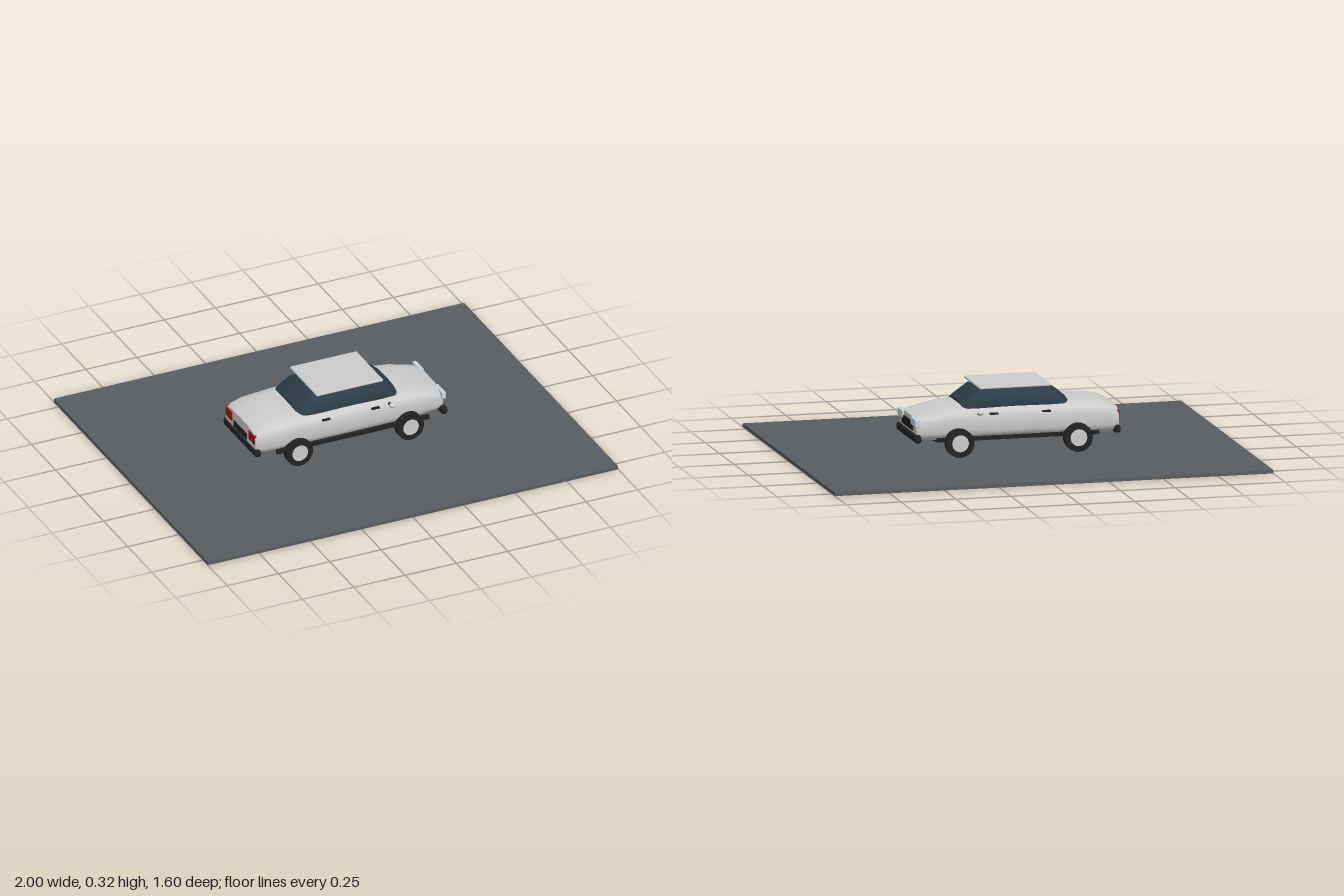
import * as THREE from 'three';
import { toCreasedNormals } from 'three/addons/utils/BufferGeometryUtils.js';
import { RoundedBoxGeometry } from 'three/addons/geometries/RoundedBoxGeometry.js';

const material = (color) => new THREE.MeshStandardMaterial({ color });

// Lofts rounded-rectangle rings along x; each section is [x, bottom, top, halfWidth].
function loft(sections, power, count = 40) {
  const points = [], index = [];
  const bend = (v) => Math.sign(v) * Math.abs(v) ** (2 / power);
  for (const [x, bottom, top, width] of sections) {
    for (let j = 0; j < count; j++) {
      const a = (j / count) * Math.PI * 2;
      points.push(x, (bottom + top) / 2 + bend(Math.sin(a)) * (top - bottom) / 2, width * bend(Math.cos(a)));
    }
  }
  const last = sections.length - 1;
  const rearCentre = points.length / 3, frontCentre = rearCentre + 1;
  for (const [x, bottom, top] of [sections[0], sections[last]]) points.push(x, (bottom + top) / 2, 0);
  for (let j = 0; j < count; j++) {
    const k = (j + 1) % count;
    for (let i = 0; i < last; i++) {
      const a = i * count, b = a + count;
      index.push(a + j, b + j, a + k, b + j, b + k, a + k);
    }
    index.push(rearCentre, j, k, frontCentre, last * count + k, last * count + j);
  }
  const geometry = new THREE.BufferGeometry();
  geometry.setAttribute('position', new THREE.Float32BufferAttribute(points, 3));
  geometry.setIndex(index);
  return toCreasedNormals(geometry, 0.6);
}

export function createModel() {
  const model = new THREE.Group();
  model.name = 'carOnGround';
  const paint = material(0xcccccc), glass = material(0x2b3d47), black = material(0x222222);
  const lamp = material(0xc8d6de), red = material(0xa01818), asphalt = material(0x5a5d60);

  const add = (name, geometry, mat, x = 0, y = 0, z = 0, parent = model) => {
    const mesh = new THREE.Mesh(geometry, mat);
    mesh.name = name;
    mesh.position.set(x, y, z);
    parent.add(mesh);
    return mesh;
  };
  const box = (name, w, h, d, mat, x, y, z, parent) =>
    add(name, new THREE.BoxGeometry(w, h, d), mat, x, y, z, parent);
  const rounded = (name, w, h, d, r, mat, x, y, z) =>
    add(name, new RoundedBoxGeometry(w, h, d, 3, r), mat, x, y, z);

  box('ground', 2, 0.016, 1.6, asphalt, 0, 0.008, 0);

  // Body shell, rear to front
  add('body', loft([
    [-0.465, 0.088, 0.203, 0.155],
    [-0.44, 0.083, 0.217, 0.168],
    [-0.39, 0.08, 0.23, 0.175],
    [-0.24, 0.08, 0.24, 0.18],
    [0, 0.08, 0.243, 0.181],
    [0.2, 0.08, 0.24, 0.177],
    [0.32, 0.08, 0.226, 0.168],
    [0.42, 0.083, 0.204, 0.152],
    [0.455, 0.088, 0.19, 0.142],
  ], 3.6), paint);

  // Glasshouse and flat roof panel
  add('cabinGlass', loft([
    [-0.245, 0.16, 0.245, 0.135],
    [-0.225, 0.15, 0.263, 0.145],
    [-0.165, 0.15, 0.308, 0.148],
    [0.16, 0.15, 0.308, 0.148],
    [0.22, 0.15, 0.263, 0.145],
    [0.24, 0.16, 0.245, 0.135],
  ], 2.7), glass);
  rounded('roof', 0.325, 0.01, 0.28, 0.004, paint, 0.003, 0.313, 0);

  // Nose and tail
  rounded('frontBumper', 0.03, 0.036, 0.34, 0.012, black, 0.452, 0.102, 0);
  rounded('rearBumper', 0.03, 0.036, 0.34, 0.012, black, -0.457, 0.104, 0);
  box('grille', 0.02, 0.038, 0.185, black, 0.451, 0.15, 0);
  box('rearPlatePanel', 0.01, 0.03, 0.13, black, -0.464, 0.143, 0);

  // Tyre and hub, axis along z
  const tyre = new THREE.CylinderGeometry(0.064, 0.064, 0.036, 32).rotateX(Math.PI / 2);
  const hub = new THREE.CylinderGeometry(0.038, 0.038, 0.04, 24).rotateX(Math.PI / 2);

  for (const s of [1, -1]) {
    const side = s > 0 ? 'left' : 'right';
    rounded(side + 'Headlight', 0.02, 0.035, 0.086, 0.005, lamp, 0.454, 0.172, s * 0.113);
    rounded(side + 'TailLight', 0.016, 0.045, 0.065, 0.004, red, -0.461, 0.165, s * 0.118);
    box(side + 'Sill', 0.74, 0.016, 0.02, black, 0, 0.097, s * 0.173);
    for (const x of [-0.13, 0.11]) {
      rounded(side + 'DoorHandle', 0.04, 0.009, 0.014, 0.003, black, x, 0.204, s * 0.174);
    }
    // Door mirror on a short stalk
    const mirror = new THREE.Group();
    mirror.name = side + 'Mirror';
    mirror.position.set(0.18, 0.216, s * 0.2);
    model.add(mirror);
    box('mirrorStalk', 0.012, 0.008, 0.045, black, 0, -0.008, -s * 0.018, mirror);
    add('mirrorShell', new THREE.SphereGeometry(1, 16, 12).scale(0.015, 0.011, 0.017), paint, 0, 0, s * 0.004, mirror);

    for (const x of [-0.27, 0.27]) {
      const wheel = new THREE.Group();
      wheel.name = side + (x > 0 ? 'FrontWheel' : 'RearWheel');
      wheel.position.set(x, 0.082, s * 0.185);
      model.add(wheel);
      add('tyre', tyre, black, 0, 0, 0, wheel);
      add('hub', hub, paint, 0, 0, 0, wheel);
    }
  }
  return model;
}
